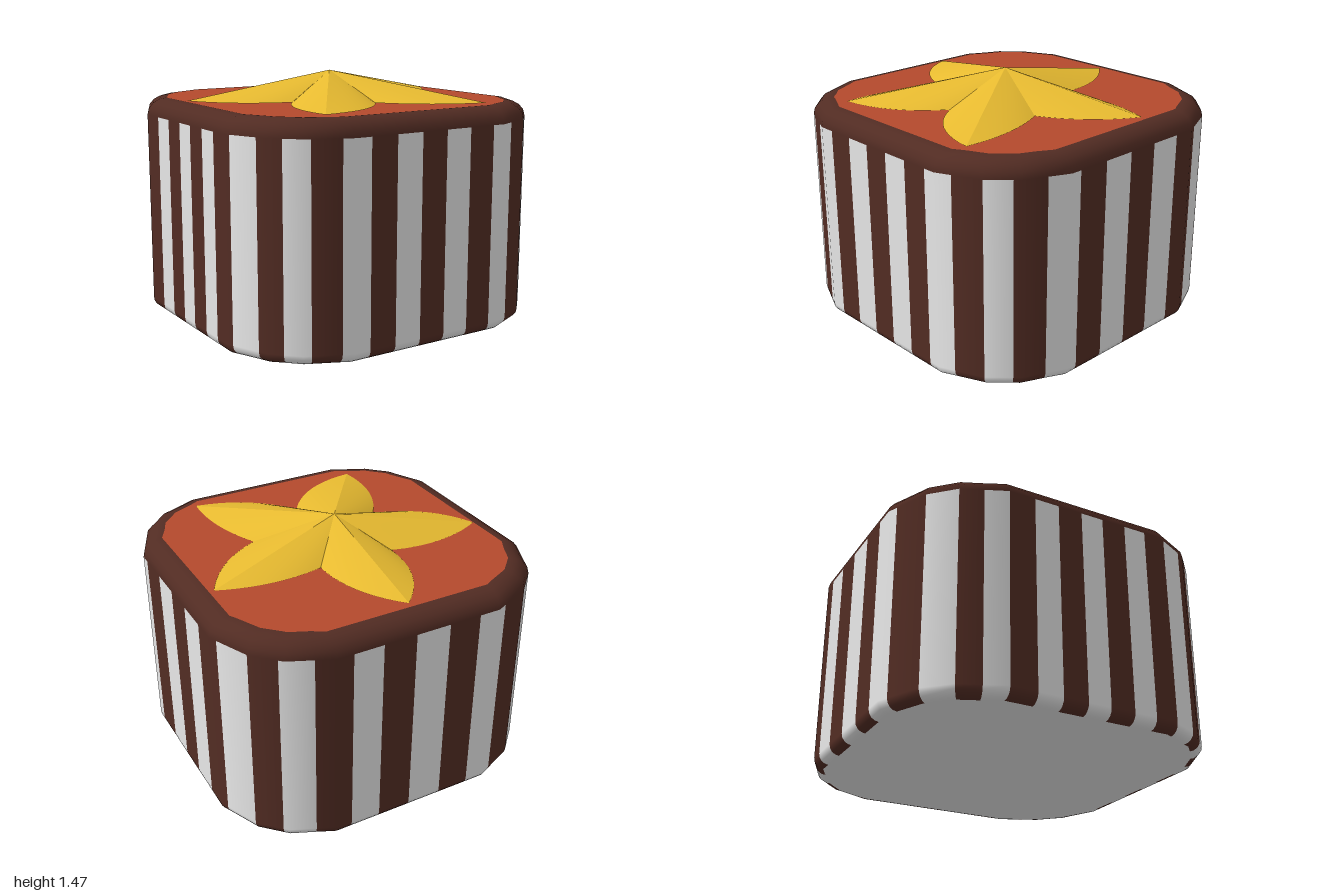
import * as THREE from 'three';

const white = new THREE.MeshStandardMaterial({ color: 0xe8e8e8 });
white.name = 'white';
const brown = new THREE.MeshStandardMaterial({ color: 0x522c23 });
brown.name = 'dark brown';
const rust = new THREE.MeshStandardMaterial({ color: 0xb4492d });
rust.name = 'rust red';
const gold = new THREE.MeshStandardMaterial({ color: 0xe8bb30 });
gold.name = 'gold';

const TOP = 1.303;
const RIM = 1.207; // height where the stripes end
const FOOT = 0.06; // radius of the rounded foot
const CORE = 0.5; // half width of the straight sides
const ARC = [[0, 1], [0.5, 1], [0.75, 0.89], [0.89, 0.75], [1, 0.5]];

// Depth of the rounded square outline at a sideways position t
function edge(t) {
  const a = Math.abs(t);
  let i = 0;
  while (i < ARC.length - 2 && a > ARC[i + 1][0]) i++;
  const [p, q] = [ARC[i], ARC[i + 1]];
  return p[1] + (q[1] - p[1]) * (a - p[0]) / (q[0] - p[0]);
}

// Places where the stripe colour changes, side by side around the body
const boundaries = [
  ...[-0.825, -0.71, -0.56, -0.40, -0.235, -0.07, 0.095, 0.26, 0.425, 0.59, 0.75, 0.86].map(x => [x, edge(x)]),
  ...[0.62, 0.435, 0.235, 0.035, -0.16, -0.36, -0.55, -0.745, -0.865].map(z => [edge(z), z]),
  ...[0.61, 0.41, 0.23, 0.03, -0.18, -0.374, -0.56, -0.755, -0.89].map(x => [x, -edge(x)]),
  ...[-0.625, -0.5, -0.34, -0.19, -0.04, 0.10, 0.25, 0.39, 0.54, 0.70].map(z => [-edge(z), z]),
];

// Outline ring: corner points and stripe boundaries, sorted around the body
function makeRing() {
  const start = Math.atan2(...boundaries[0]);
  const turn = ([x, z]) => (Math.atan2(x, z) - start + Math.PI * 2) % (Math.PI * 2);
  const ring = boundaries.map((p, i) => ({ p, turn: turn(p), flip: i }));
  for (const sx of [-1, 1]) for (const sz of [-1, 1]) {
    for (const [x, z] of ARC.slice(1)) {
      const p = [x * sx, z * sz];
      ring.push({ p, turn: turn(p), flip: -1 });
    }
  }
  ring.sort((a, b) => a.turn - b.turn);
  let isWhite = true;
  for (const r of ring) {
    if (r.flip >= 0) isWhite = r.flip % 2 === 0;
    r.white = isWhite;
    const c = r.p.map(v => THREE.MathUtils.clamp(v, -CORE, CORE));
    const n = [r.p[0] - c[0], r.p[1] - c[1]];
    const len = Math.hypot(...n);
    r.n = n.map(v => v / len);
  }
  return ring;
}

// Sweep a profile of [y, inset, tilt angle] along the chosen ring segments
function sweep(ring, profile, choose) {
  const pos = [], nor = [], idx = [];
  ring.forEach((a, i) => {
    if (!choose(a)) return;
    const base = pos.length / 3;
    for (const s of [a, ring[(i + 1) % ring.length]]) {
      for (const [y, inset, tilt] of profile) {
        pos.push(s.p[0] - s.n[0] * inset, y, s.p[1] - s.n[1] * inset);
        nor.push(s.n[0] * Math.cos(tilt), Math.sin(tilt), s.n[1] * Math.cos(tilt));
      }
    }
    const m = profile.length;
    for (let k = 0; k < m - 1; k++) {
      const l = base + k, r = base + m + k;
      idx.push(l, r, r + 1, l, r + 1, l + 1);
    }
  });
  const g = new THREE.BufferGeometry();
  g.setAttribute('position', new THREE.Float32BufferAttribute(pos, 3));
  g.setAttribute('normal', new THREE.Float32BufferAttribute(nor, 3));
  g.setIndex(idx);
  return g;
}

// Flat lid with the outline moved inwards
function lid(ring, inset, y, up) {
  const pts = ring.map(s => new THREE.Vector2(s.p[0] - s.n[0] * inset, -(s.p[1] - s.n[1] * inset) * (up ? 1 : -1)));
  const g = new THREE.ShapeGeometry(new THREE.Shape(pts));
  return g.rotateX(up ? -Math.PI / 2 : Math.PI / 2).translate(0, y, 0);
}

// Five-armed star: curved arm edges joined to a raised peak
function starGeometry() {
  const peak = [-0.02, 1.468, 0];
  const tips = [[-0.01, -0.845], [-0.868, -0.22], [-0.545, 0.785], [0.535, 0.805], [0.848, -0.23]];
  const dips = [[-0.24, -0.29], [-0.39, 0.18], [0, 0.46], [0.42, 0.19], [0.22, -0.28]];
  // Bulge of the edges on both sides of each dip
  const bulges = [[0.14, 0.13], [0.17, 0.13], [0.16, 0.15], [0.09, 0.11], [0.1, 0.13]];
  const pos = [], idx = [];
  const half = (from, to, bulge) => {
    const a = new THREE.Vector2(...from), b = new THREE.Vector2(...to);
    const d = b.clone().sub(a).normalize();
    const out = new THREE.Vector2(-d.y, d.x);
    const mid = a.clone().lerp(b, 0.5);
    if (out.dot(mid) < 0) out.negate();
    const curve = new THREE.QuadraticBezierCurve(a, mid.addScaledVector(out, bulge), b);
    const pts = curve.getPoints(10);
    const base = pos.length / 3;
    pos.push(...peak);
    pts.forEach(p => pos.push(p.x, TOP + 0.004, p.y));
    for (let i = 1; i < pts.length; i++) idx.push(base, base + i, base + i + 1);
  };
  tips.forEach((tip, i) => {
    half(tip, dips[i], bulges[i][0]);
    half(dips[i], tips[(i + 1) % 5], bulges[i][1]);
  });
  const g = new THREE.BufferGeometry();
  g.setAttribute('position', new THREE.Float32BufferAttribute(pos, 3));
  g.setIndex(idx);
  g.computeVertexNormals();
  return g;
}

export function createModel() {
  const group = new THREE.Group();
  const add = (name, geometry, material) => {
    const mesh = new THREE.Mesh(geometry, material);
    mesh.name = name;
    group.add(mesh);
  };
  const ring = makeRing();

  // Wall with a small rounded foot, and the wider rounded rim above it
  const wall = [], rim = [];
  for (let k = 0; k <= 4; k++) {
    const t = k / 4 * Math.PI / 2;
    wall.push([FOOT * (1 - Math.cos(t)), FOOT * (1 - Math.sin(t)), t - Math.PI / 2]);
    rim.push([RIM + (TOP - RIM) * Math.sin(t), 0.125 * (1 - Math.cos(t)), t]);
  }
  wall.push([RIM, 0, 0]);
  add('whiteStripes', sweep(ring, wall, s => s.white), white);
  add('brownStripes', sweep(ring, wall, s => !s.white), brown);
  add('rim', sweep(ring, rim, () => true), brown);

  // Lids and star
  add('topPanel', lid(ring, 0.125, TOP, true), rust);
  add('base', lid(ring, FOOT, 0, false), white);
  add('star', starGeometry(), gold);
  return group;
}
